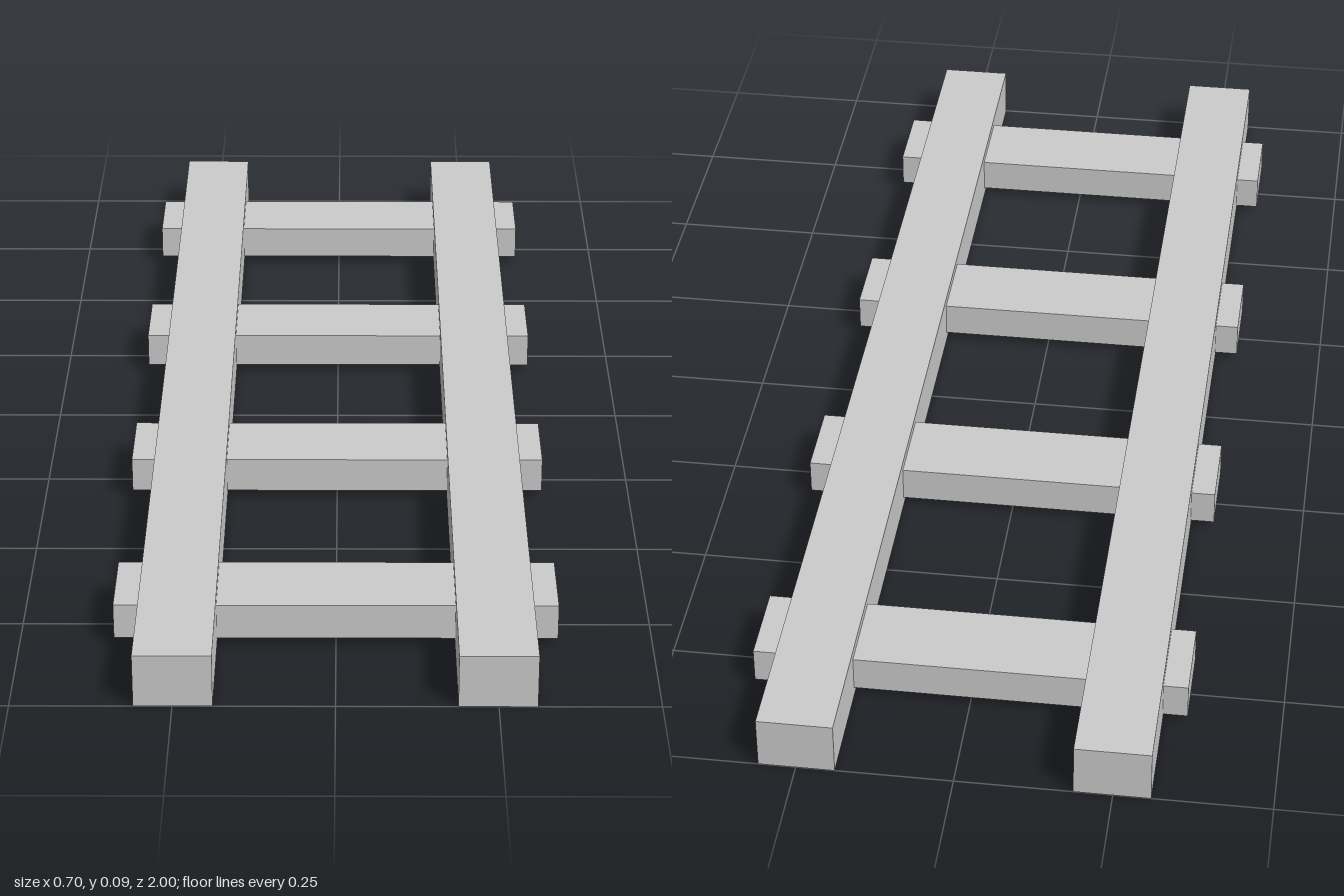
import * as THREE from 'three';

export function createModel() {
  const group = new THREE.Group();
  group.name = 'ladder';
  const material = new THREE.MeshStandardMaterial({ color: 0xcccccc, flatShading: true });

  function beam(name, size, position) {
    const mesh = new THREE.Mesh(new THREE.BoxGeometry(...size), material);
    mesh.name = name;
    mesh.position.set(...position);
    group.add(mesh);
  }

  // Two long side rails
  const railHeight = 0.089;
  beam('leftRail', [0.122, railHeight, 2], [0.249, railHeight / 2, 0]);
  beam('rightRail', [0.122, railHeight, 2], [-0.249, railHeight / 2, 0]);

  // Four rungs passing through the rails, ends sticking out
  for (let i = 0; i < 4; i++) {
    beam(`rung${i + 1}`, [0.7, 0.059, 0.14], [0, 0.045, 0.75 - i * 0.5]);
  }

  return group;
}
